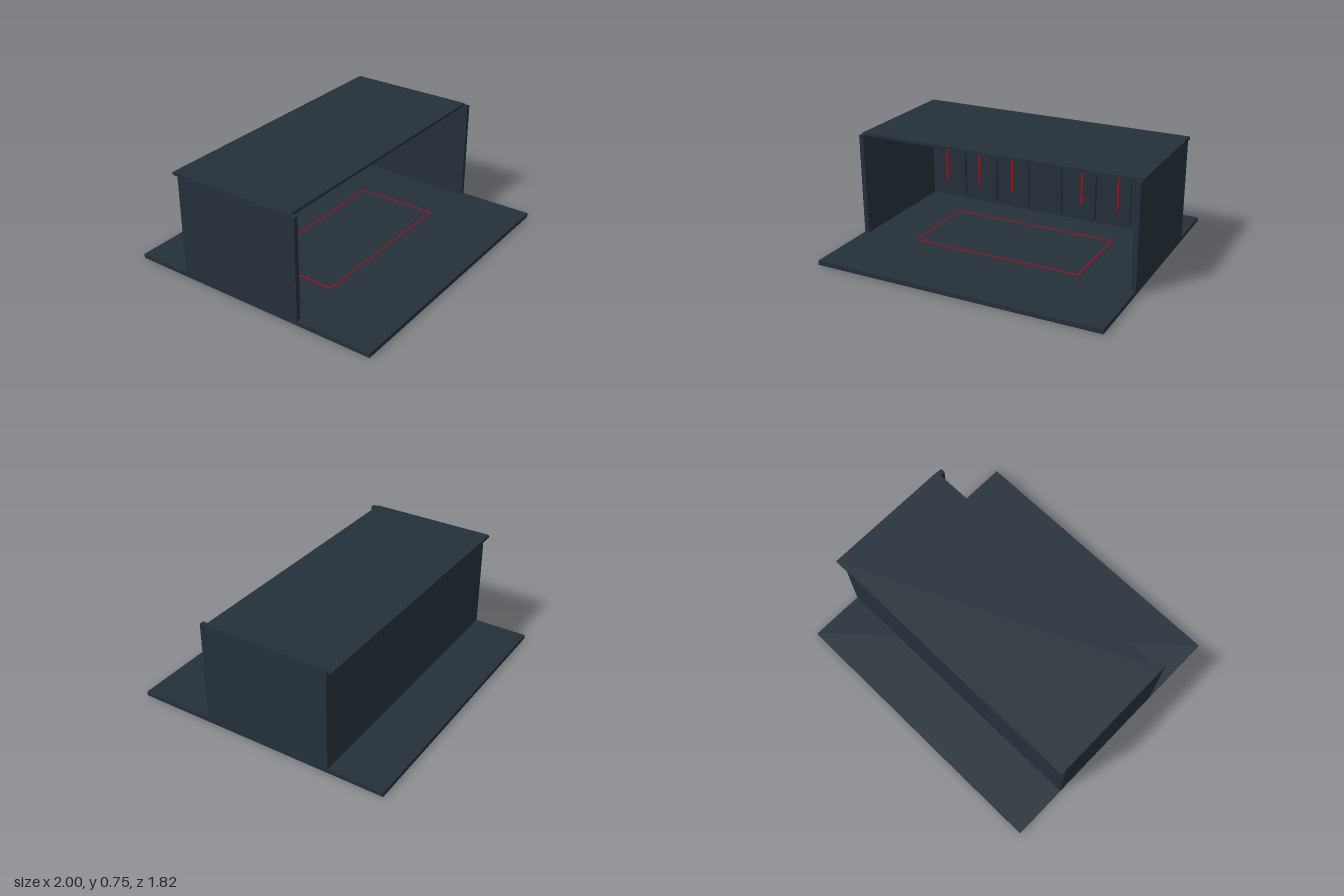
import * as THREE from 'three';

export function createModel() {
  const model = new THREE.Group();
  model.name = 'openPavilion';

  const slate = new THREE.MeshStandardMaterial({ color: 0x25303a });
  slate.name = 'dark slate';
  const red = new THREE.MeshStandardMaterial({ color: 0xb00c18 });
  red.name = 'signal red';

  // Box given by its extents on each axis
  function box(name, material, [x0, x1], [y0, y1], [z0, z1], parent = model) {
    const mesh = new THREE.Mesh(new THREE.BoxGeometry(x1 - x0, y1 - y0, z1 - z0), material);
    mesh.position.set((x0 + x1) / 2, (y0 + y1) / 2, (z0 + z1) / 2);
    mesh.name = name;
    parent.add(mesh);
    return mesh;
  }
  function group(name) {
    const g = new THREE.Group();
    g.name = name;
    model.add(g);
    return g;
  }

  // Shell: floor slab, three walls and a roof shifted towards the back
  box('floorSlab', slate, [-1, 1], [0, 0.03], [-0.91, 0.91]);
  box('leftWall', slate, [0.967, 1], [0.03, 0.738], [-0.525, 0.385]);
  box('rightWall', slate, [-1, -0.967], [0.03, 0.738], [-0.525, 0.385]);
  box('backWall', slate, [-0.967, 0.967], [0.03, 0.73], [-0.525, -0.49]);
  box('roof', slate, [-0.9995, 0.9995], [0.725, 0.745], [-0.565, 0.345]);

  // Seven raised panels along the back wall
  const panels = group('wallPanels');
  for (let i = -3; i <= 3; i++) {
    const x = i * 0.263 - 0.002;
    box('wallPanel', slate, [x - 0.114, x + 0.114], [0.06, 0.64], [-0.49, -0.47], panels);
  }

  // Red rail with hanging strips in front of the panels
  const trim = group('redWallTrim');
  box('rail', red, [-0.83, 0.83], [0.635, 0.645], [-0.47, -0.455], trim);
  for (const side of [-1, 1]) {
    for (const i of [1, 2, 3]) {
      const x = side * i * 0.275;
      box('strip', red, [x - 0.005, x + 0.005], [0.165, 0.635], [-0.47, -0.455], trim);
    }
  }

  // Thin red rectangle marked on the floor
  const marking = group('floorMarking');
  const y = [0.03, 0.033];
  for (const z of [-0.24, 0.34]) box('longLine', red, [-0.6, 0.6], y, [z - 0.004, z + 0.004], marking);
  for (const x of [-0.6, 0.6]) box('shortLine', red, [x - 0.004, x + 0.004], y, [-0.236, 0.336], marking);

  // Four flat fixtures hung just below the ceiling
  const fixtures = group('ceilingFixtures');
  for (const x of [-0.615, -0.205, 0.205, 0.615]) {
    box('ceilingFixture', slate, [x - 0.108, x + 0.108], [0.706, 0.711], [-0.12, -0.02], fixtures);
  }

  return model;
}
